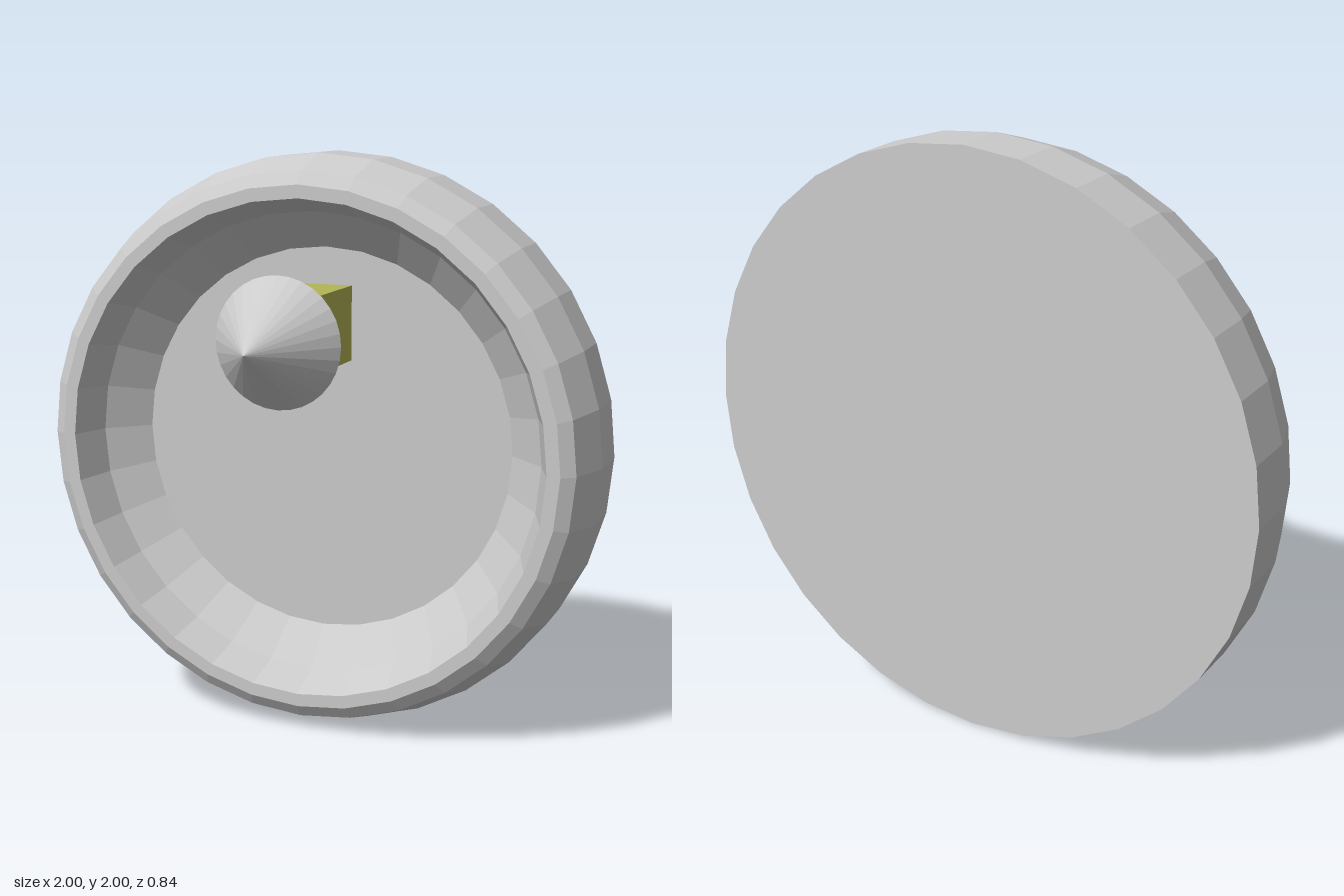
import * as THREE from 'three';

const SIDES = 32;

function part(name, geometry, color = 0xcccccc) {
  const material = new THREE.MeshStandardMaterial({ color, flatShading: true });
  const mesh = new THREE.Mesh(geometry, material);
  mesh.name = name;
  return mesh;
}

export function createModel() {
  const model = new THREE.Group();
  model.name = 'wallDish';

  // Dish: one closed profile (radius, depth) from the back centre round the rim to the floor
  const profile = [
    [0, -0.42], [1, -0.42], [1, -0.235], [0.95, -0.078], [0.905, -0.047],
    [0.86, -0.047], [0.81, -0.18], [0.68, -0.3], [0, -0.3],
  ].map(([r, z]) => new THREE.Vector2(r, z));
  const dish = part('dish', new THREE.LatheGeometry(profile, SIDES).rotateX(Math.PI / 2));
  dish.position.y = 1;
  model.add(dish);

  // Square stem from the dish floor to the knob
  const stem = part('stem', new THREE.BoxGeometry(0.195, 0.26, 0.45), 0xb4b657);
  stem.position.set(0, 1.42, -0.075);
  model.add(stem);

  // Pointed knob facing forward
  const knob = part('knob', new THREE.ConeGeometry(0.22, 0.27, SIDES).rotateX(Math.PI / 2));
  knob.position.set(0.01, 1.41, 0.285);
  model.add(knob);

  return model;
}
